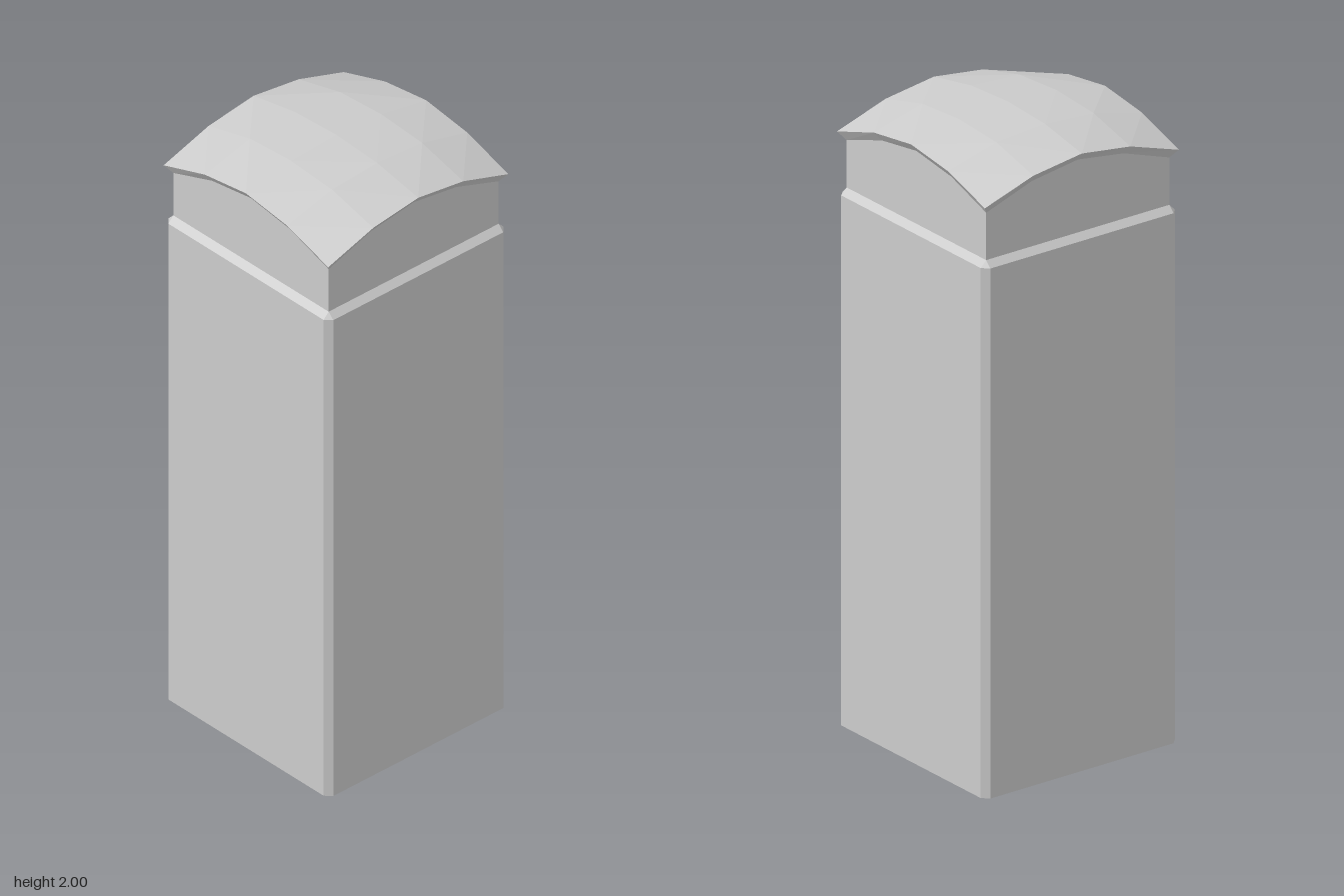
import * as THREE from 'three';

const OUTER = 0.355;  // half width of shaft and cap
const INNER = 0.335;  // half width of neck
const LIP = 0.026;    // height of the cap's slanted lip

// Cap heights by distance (in grid steps) from the centre
const DOME = [
  [2.0, 1.99, 1.957],
  [1.99, 1.978, 1.933],
  [1.957, 1.933, 1.876],
];
const STEPS = [-2, -1, 0, 1];

const material = new THREE.MeshStandardMaterial({ color: 0xcccccc, flatShading: true });

// Flat-shaded mesh from a list of triangles / convex polygons (arrays of Vector3)
function facetMesh(name, polygons) {
  const points = [];
  for (const p of polygons)
    for (let k = 1; k < p.length - 1; k++) points.push(p[0], p[k], p[k + 1]);
  const geometry = new THREE.BufferGeometry().setFromPoints(points);
  geometry.computeVertexNormals();
  const mesh = new THREE.Mesh(geometry, material);
  mesh.name = name;
  return mesh;
}

// Square ring with its corners cut from half width `half` back to `cut`
function ring(y, half, cut) {
  const points = [];
  for (let k = 0; k < 4; k++)
    for (const [x, z] of [[-cut, half], [cut, half]])
      points.push(new THREE.Vector3(x, y, z).applyAxisAngle(THREE.Object3D.DEFAULT_UP, k * Math.PI / 2));
  return points;
}

// Shaft with bevelled vertical edges and a bevelled shoulder
function shaft() {
  const rings = [ring(0, OUTER, INNER), ring(1.68, OUTER, INNER), ring(1.7, INNER, INNER)];
  const polygons = [[...rings[0]].reverse(), rings[2]];
  for (let r = 0; r < 2; r++)
    for (let k = 0; k < 8; k++) {
      const n = (k + 1) % 8;
      const corner = [rings[r][k], rings[r][n], rings[r + 1][n]];
      // The corner bevels end in a point at the shoulder
      if (r === 0 || k % 2 === 0) corner.push(rings[r + 1][k]);
      polygons.push(corner);
    }
  return facetMesh('shaft', polygons);
}

// Strip around all four sides; each row gives { half, y(step) }
function sideStrip(name, low, high) {
  const polygons = [];
  const at = (row, i, k) => new THREE.Vector3(i / 2 * row.half, row.y(i), row.half)
    .applyAxisAngle(THREE.Object3D.DEFAULT_UP, k * Math.PI / 2);
  for (let k = 0; k < 4; k++)
    for (const i of STEPS)
      polygons.push([at(low, i, k), at(low, i + 1, k), at(high, i + 1, k), at(high, i, k)]);
  return facetMesh(name, polygons);
}

// Domed cap surface, with quads split across the radial direction
function dome() {
  const polygons = [];
  const at = (i, j) => new THREE.Vector3(i / 2 * OUTER, DOME[Math.abs(i)][Math.abs(j)], j / 2 * OUTER);
  for (const i of STEPS)
    for (const j of STEPS) {
      const a = at(i, j), b = at(i + 1, j), c = at(i + 1, j + 1), d = at(i, j + 1);
      if ((i < 0) === (j < 0)) polygons.push([a, d, b], [d, c, b]);
      else polygons.push([a, d, c], [a, c, b]);
    }
  return facetMesh('capDome', polygons);
}

export function createModel() {
  const model = new THREE.Group();
  model.name = 'post';

  const rimTop = { half: OUTER, y: (i) => DOME[2][Math.abs(i)] };
  const rimBottom = { half: INNER, y: (i) => DOME[2][Math.abs(i)] - LIP };
  const neckBase = { half: INNER, y: () => 1.7 };

  const cap = new THREE.Group();
  cap.name = 'cap';
  cap.add(dome(), sideStrip('capLip', rimBottom, rimTop));

  model.add(shaft(), sideStrip('neck', neckBase, rimBottom), cap);
  return model;
}
